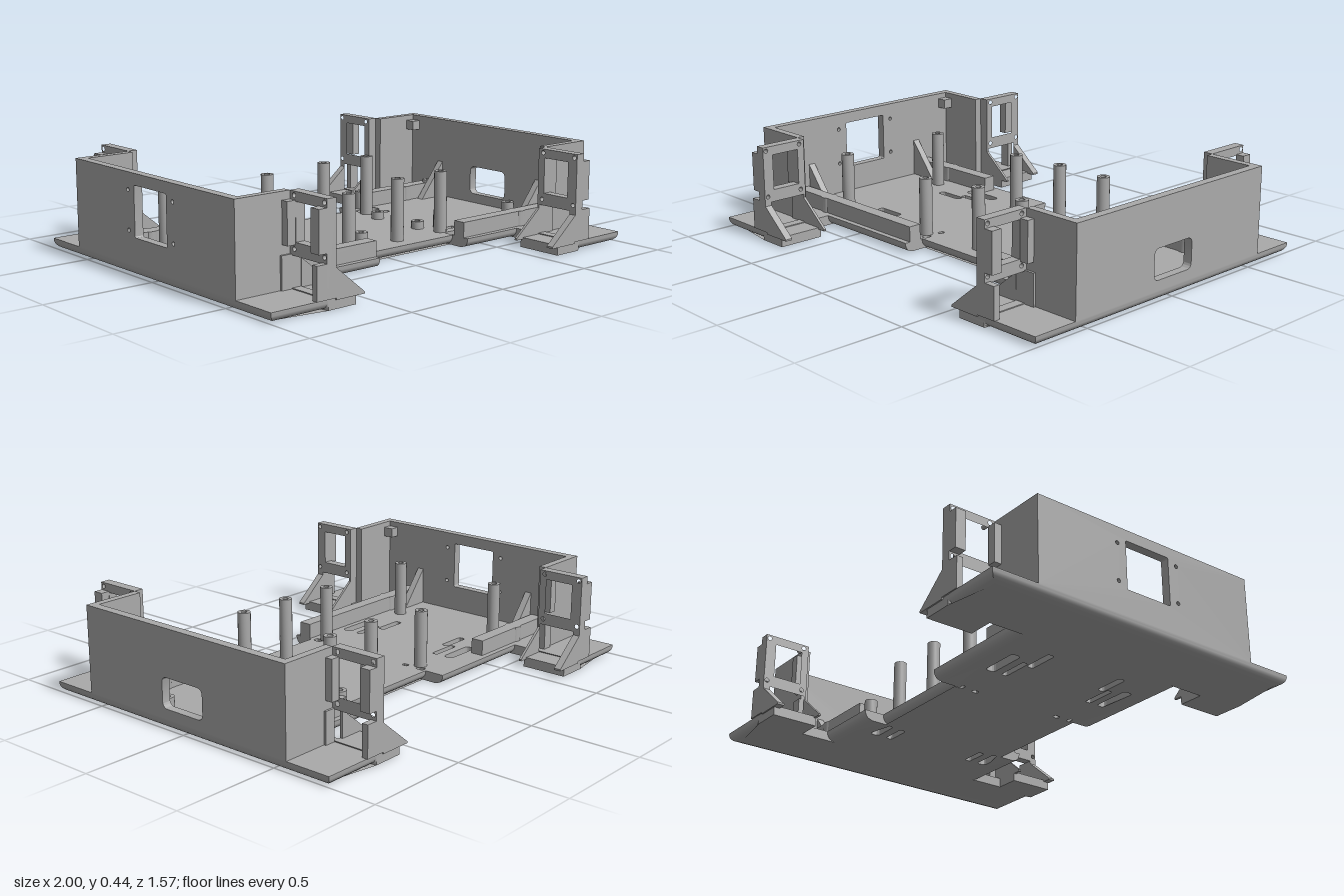
import * as THREE from 'three';
import { toCreasedNormals } from 'three/addons/utils/BufferGeometryUtils.js';

const T = 0.045;    // floor thickness
const TOP = 0.435;  // wall height
const grey = new THREE.MeshStandardMaterial({ color: 0xaaaaaa });
grey.name = 'plain grey';

export function createModel() {
  const root = new THREE.Group();
  root.name = 'chassis';

  const add = (name, geo, parent = root) => {
    const m = new THREE.Mesh(toCreasedNormals(geo, 0.6), grey);
    m.name = name;
    parent.add(m);
    return m;
  };
  // box from its limits, in any order
  const box = (name, x0, x1, y0, y1, z0, z1, parent) => {
    const g = new THREE.BoxGeometry(Math.abs(x1 - x0), Math.abs(y1 - y0), Math.abs(z1 - z0));
    g.translate((x0 + x1) / 2, (y0 + y1) / 2, (z0 + z1) / 2);
    return add(name, g, parent);
  };
  const poly = (pts) => new THREE.Shape(pts.map(([a, b]) => new THREE.Vector2(a, b)));
  const rect = (a0, a1, b0, b1) => poly([[a0, b0], [a1, b0], [a1, b1], [a0, b1]]);
  const circle = (a, b, r) => new THREE.Path().absarc(a, b, r, 0, Math.PI * 2, true);
  const roundRect = (a0, a1, b0, b1, r) => {
    const p = new THREE.Path();
    p.absarc(a1 - r, b1 - r, r, 0, Math.PI / 2);
    p.absarc(a0 + r, b1 - r, r, Math.PI / 2, Math.PI);
    p.absarc(a0 + r, b0 + r, r, Math.PI, Math.PI * 1.5);
    p.absarc(a1 - r, b0 + r, r, Math.PI * 1.5, Math.PI * 2);
    p.closePath();
    return p;
  };
  const extrude = (shape, depth, steps = 1) =>
    new THREE.ExtrudeGeometry(shape, { depth, steps, bevelEnabled: false, curveSegments: 8 });
  // shape in (x, z), raised from y0 by h
  const upright = (shape, y0, h, steps) =>
    extrude(shape, h, steps).rotateX(Math.PI / 2).translate(0, y0 + h, 0);
  // shape in (z, y), running from x0 to x1
  const sideways = (shape, x0, x1) =>
    extrude(shape, x1 - x0).rotateY(-Math.PI / 2).translate(x1, 0, 0);

  // floor plate with slots and rounded lower edges
  const half = [
    [1, 0.78], [0.73, 0.78], [0.725, 0.779], [0.585, 0.779], [0.585, 0.565],
    [0.7, 0.565], [0.7, 0.435], [0.38, 0.435], [0.38, 0.34],
    [-0.145, 0.34], [-0.145, 0.435], [-0.7, 0.435], [-0.7, 0.565],
    [-0.585, 0.565], [-0.585, 0.779], [-0.725, 0.779], [-0.73, 0.78], [-1, 0.78],
  ];
  const floor = poly([...half, ...half.map(([x, z]) => [x, -z]).reverse()]);
  const slots = [
    [-0.535, -0.355, 0.28, 0.325], [-0.5, -0.355, 0.215, 0.242], [-0.62, -0.48, 0.175, 0.208],
    [0.385, 0.51, 0.28, 0.325], [0.395, 0.51, 0.208, 0.238],
    [-0.17, -0.14, 0.285, 0.325], [-0.16, -0.14, 0.208, 0.238],
  ];
  for (const [x0, x1, z0, z1] of slots) {
    const r = Math.min(x1 - x0, z1 - z0) * 0.35;
    floor.holes.push(roundRect(x0, x1, z0, z1, r), roundRect(x0, x1, -z1, -z0, r));
  }
  const floorGeo = upright(floor, 0, T, 6);
  const p = floorGeo.attributes.position;
  const R = 0.04;
  const near = (a, b) => Math.abs(a - b) < 0.0005;
  for (let i = 0; i < p.count; i++) {
    const x = p.getX(i), y = p.getY(i), z = p.getZ(i);
    if (y >= R) continue;
    const inset = R - Math.sqrt(Math.max(0, R * R - (R - y) ** 2));
    if (near(Math.abs(x), 1)) p.setX(i, x - Math.sign(x) * inset);
    if ([0.78, 0.435, 0.34].some((e) => near(Math.abs(z), e))) p.setZ(i, z - Math.sign(z) * inset);
  }
  add('floorPlate', floorGeo);

  // end walls, each with its own opening
  const leftWall = rect(-0.565, 0.565, T, TOP);
  leftWall.holes.push(roundRect(-0.115, 0.115, 0.09, 0.225, 0.025));
  add('leftWall', sideways(leftWall, 0.96, 1));
  const rightWall = rect(-0.565, 0.565, T, TOP);
  rightWall.holes.push(roundRect(-0.115, 0.115, 0.165, 0.385, 0.006));
  for (const z of [-0.16, 0.16]) {
    for (const y of [0.19, 0.36]) rightWall.holes.push(circle(z, y, 0.009));
  }
  add('rightWall', sideways(rightWall, -1, -0.96));

  // corner fittings, mirrored to all four corners
  for (const sx of [-1, 1]) {
    for (const sz of [-1, 1]) {
      const corner = new THREE.Group();
      corner.name = 'corner';
      root.add(corner);
      const cbox = (name, x0, x1, y0, y1, z0, z1) =>
        box(name, sx * x0, sx * x1, y0, y1, sz * z0, sz * z1, corner);

      cbox('returnWall', 0.735, 0.96, T, TOP, 0.53, 0.565);
      cbox('screwBlock', 0.915, 0.96, 0.365, 0.41, 0.48, 0.53);

      // upright frame with two openings and screw holes
      const frame = rect(sz * 0.565, sz * 0.785, T, TOP);
      frame.holes.push(rect(sz * 0.6, sz * 0.735, 0.235, 0.395));
      frame.holes.push(rect(sz * 0.575, sz * 0.752, T + 0.004, 0.18));
      for (const z of [0.59, 0.769]) {
        for (const y of [0.418, 0.207]) frame.holes.push(circle(sz * z, y, 0.01));
      }
      add('mountFrame', sideways(frame, sx > 0 ? 0.69 : -0.735, sx > 0 ? 0.735 : -0.69), corner);

      // side cheeks and sloping braces
      for (const [z0, z1] of [[0.565, 0.598], [0.752, 0.785]]) {
        const inner = z0 < 0.6;
        cbox('upperCheek', 0.735, 0.775, 0.225, 0.4, inner ? z0 : 0.737, z1);
        cbox('lowerCheek', 0.735, 0.785, T, 0.185, inner ? z0 : 0.757, inner ? 0.575 : z1);
        const brace = poly([[0.69, 0.165], [0.545, T], [0.545, T - 0.008], [0.69, T - 0.008]]
          .map(([x, y]) => [sx * x, y]));
        const zMin = Math.min(sz * z0, sz * z1);
        const w = inner ? 0.012 : z1 - z0;
        add('brace', extrude(brace, w).translate(0, 0, inner && sz < 0 ? zMin + 0.021 : zMin), corner);
      }

      // wall gusset standing on the floor
      const gusset = poly([[0.96, T], [0.82, T], [0.96, 0.22]].map(([x, y]) => [sx * x, y]));
      add('wallGusset', extrude(gusset, 0.033).translate(0, 0, sz > 0 ? 0.31 : -0.343), corner);
    }
  }

  // raised rails along the floor edges, with a round boss on each
  const rails = [[-0.96, -0.145, 1], [0.38, 0.96, 1], [-0.96, -0.475, -1], [0.47, 0.96, -1]];
  for (const [x0, x1, s] of rails) {
    box('rail', x0, x1, T, 0.115, s * 0.35, s * 0.41);
    const boss = new THREE.CylinderGeometry(0.037, 0.037, 0.07, 24);
    boss.translate(x0 < 0 ? -0.76 : 0.76, T + 0.035, s * 0.38);
    add('railBoss', boss);
  }

  // hollow standoffs: x, z, top height
  const posts = [];
  for (const s of [-1, 1]) {
    posts.push([-0.74, s * 0.28, 0.305], [-0.185, s * 0.28, 0.305]);
    posts.push([0.125, s * 0.25, 0.325], [0.39, s * 0.25, 0.325]);
    posts.push([0.015, s * 0.135, 0.08], [0.36, s * 0.135, 0.08]);
  }
  posts.push([0.455, -0.36, 0.13], [0.91, -0.36, 0.13], [0.455, 0.18, 0.1], [0.915, 0.18, 0.1]);
  for (const [x, z, top] of posts) {
    const ring = new THREE.Shape().absarc(x, z, 0.029, 0, Math.PI * 2);
    ring.holes.push(circle(x, z, 0.013));
    add('standoff', upright(ring, T, top - T));
  }
  return root;
}
